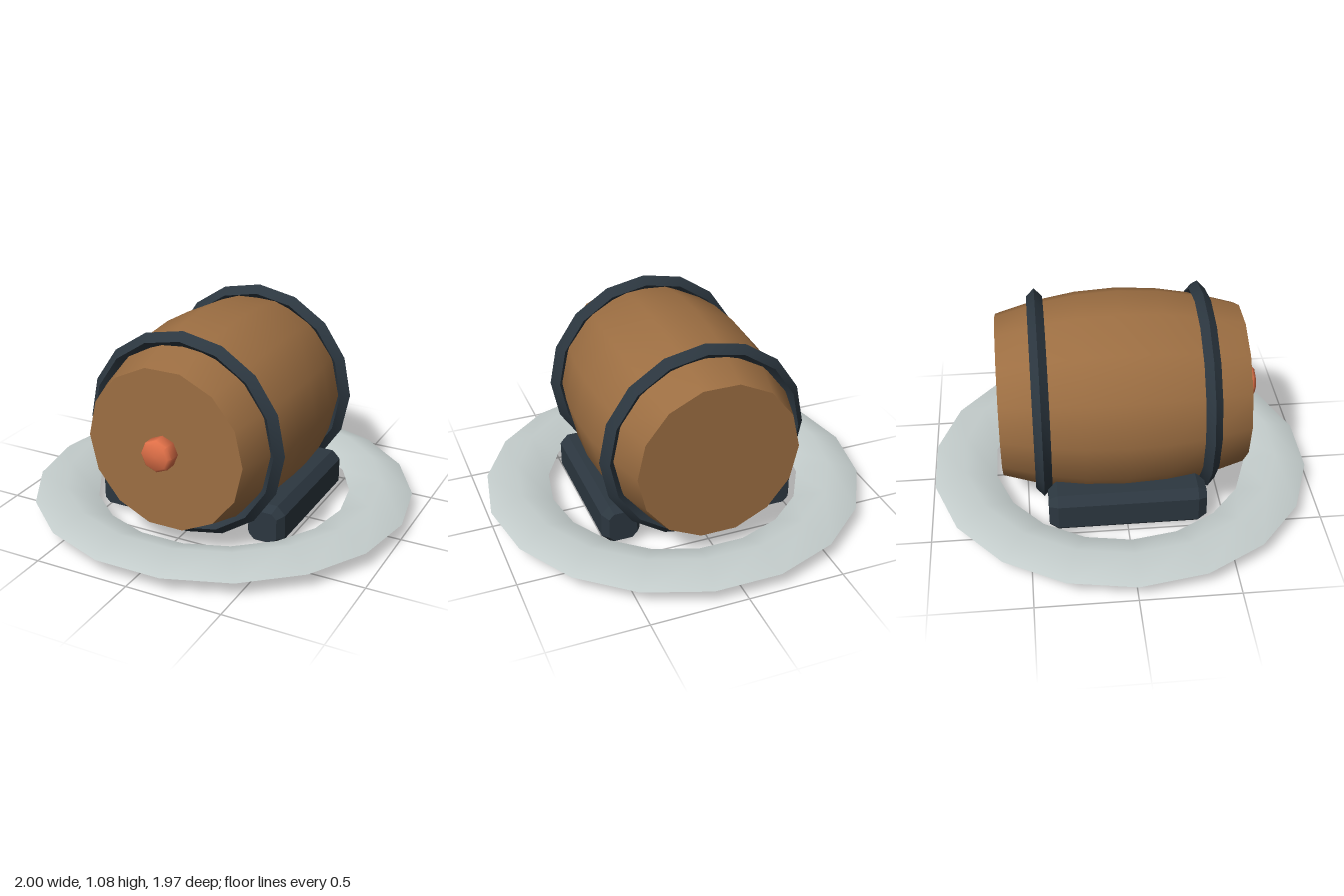
import * as THREE from 'three';
import { toCreasedNormals } from 'three/addons/utils/BufferGeometryUtils.js';

const material = (name, color) => {
  const m = new THREE.MeshStandardMaterial({ color });
  m.name = name;
  return m;
};

// Solid of revolution along z, from [radius, z] pairs listed back to front
function turned(profile, sides) {
  const points = profile.map(([r, z]) => new THREE.Vector2(r, z));
  const geo = new THREE.LatheGeometry(points, sides, Math.PI / 2);
  geo.rotateX(Math.PI / 2);
  return toCreasedNormals(geo, 1);
}

// Rectangular block with chamfered edges all round
function chamferedBlock(w, h, d, c) {
  const x = w / 2 - c, y = h / 2 - c;
  const shape = new THREE.Shape([
    new THREE.Vector2(-x, -y), new THREE.Vector2(x, -y),
    new THREE.Vector2(x, y), new THREE.Vector2(-x, y),
  ]);
  // Cut corners so the long edges are chamfered as well
  const cut = new THREE.Shape();
  const k = c * 0.6, X = x + c * 0.4, Y = y + c * 0.4;
  cut.moveTo(-X + k, -Y).lineTo(X - k, -Y).lineTo(X, -Y + k).lineTo(X, Y - k);
  cut.lineTo(X - k, Y).lineTo(-X + k, Y).lineTo(-X, Y - k).lineTo(-X, -Y + k);
  cut.closePath();
  const geo = new THREE.ExtrudeGeometry(c > 0 ? cut : shape, {
    depth: d - 2 * c, bevelEnabled: true, bevelSegments: 1,
    bevelSize: c * 0.6, bevelThickness: c,
  });
  geo.translate(0, 0, -(d - 2 * c) / 2);
  return toCreasedNormals(geo, 0.4);
}

export function createModel() {
  const wood = material('wood', 0x9c6e42);
  const iron = material('dark iron', 0x2c3740);
  const stone = material('pale grey', 0xc4cdcc);
  const copper = material('copper', 0xe07048);

  const model = new THREE.Group();
  model.name = 'barrelOnStand';
  const add = (name, geo, mat, x, y, z) => {
    const mesh = new THREE.Mesh(geo, mat);
    mesh.name = name;
    mesh.position.set(x, y, z);
    model.add(mesh);
  };
  const axisY = 0.543;

  // Bulging barrel with flat ends
  const barrel = [[0, -0.623]];
  for (let i = -3; i <= 3; i++) {
    const t = i / 3;
    barrel.push([0.525 - 0.107 * t * t, 0.623 * t]);
  }
  barrel.push([0, 0.623]);
  add('barrel', turned(barrel, 14), wood, 0, axisY, 0);

  // Diamond-section hoops
  for (const [name, z] of [['frontHoop', 0.418], ['backHoop', -0.418]]) {
    const hoop = new THREE.TorusGeometry(0.498, 0.041, 4, 16);
    add(name, toCreasedNormals(hoop, 1), iron, 0, axisY, z);
  }

  // Tap plug on the front end
  const plug = [[0, 0], [0.07, 0], [0.083, 0.015], [0.083, 0.075], [0.068, 0.09], [0, 0.09]];
  add('tapPlug', turned(plug, 8), copper, 0, axisY + 0.002, 0.618);

  // Cradle blocks
  for (const [name, side] of [['leftCradle', 1], ['rightCradle', -1]]) {
    add(name, chamferedBlock(0.2, 0.215, 0.8, 0.045), iron, side * 0.42, 0.128, 0);
  }

  // Flattened ring around the base
  const ring = new THREE.TorusGeometry(0.835, 0.165, 4, 18);
  ring.scale(1, 1, 0.39);
  ring.rotateX(-Math.PI / 2);
  add('baseRing', toCreasedNormals(ring, 1), stone, 0, 0.09, 0);

  return model;
}
